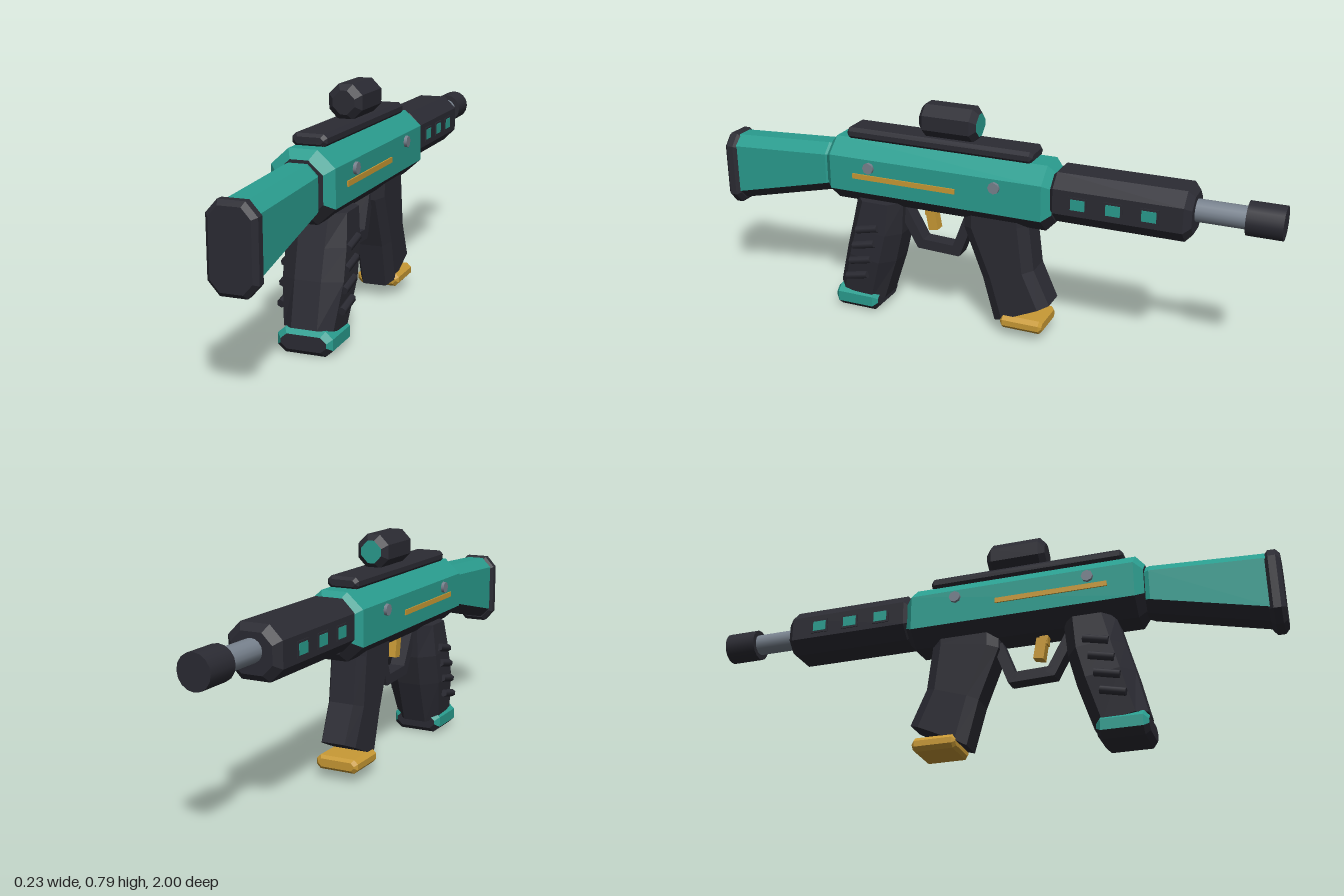
import * as THREE from 'three';

const mat = (name, color) => {
  const m = new THREE.MeshStandardMaterial({ color });
  m.name = name;
  return m;
};

export function createModel() {
  const root = new THREE.Group();
  root.name = 'rifle';
  const dark = mat('charcoal', 0x2b2b33);
  const teal = mat('teal', 0x2a9d8f);
  const gold = mat('gold', 0xc99a35);
  const steel = mat('steel', 0x78828e);

  // Octagon outline, counter-clockwise from the lower right corner
  const octagon = (w, v0, v1, cu, cv) => [
    [w, v0 + cv], [w, v1 - cv], [w - cu, v1], [cu - w, v1],
    [-w, v1 - cv], [-w, v0 + cv], [cu - w, v0], [w - cu, v0]];

  // Section across z
  const zLoop = (z, w, y0, y1, cu = 0.03, cv = cu) =>
    octagon(w, y0, y1, cu, cv).map(([x, y]) => [x, y, z]);

  // Section across y; ya and yb are the heights at its back (zb) and front (za) edges
  const yLoop = (w, za, ya, zb, yb, cu, cv) =>
    octagon(w, -za, -zb, cu, cv).map(([x, v]) => [x, ya + (yb - ya) * (-v - za) / (zb - za), -v]);

  // Faceted skin over octagon loops; pick(edge) gives the material, edge is 0-7, 'start' or 'end'
  function loft(name, loops, pick) {
    const buckets = new Map();
    const tri = (m, ...p) => {
      if (!buckets.has(m)) buckets.set(m, []);
      buckets.get(m).push(...p.flat());
    };
    for (let k = 0; k < loops.length - 1; k++) {
      const a = loops[k], b = loops[k + 1];
      for (let i = 0; i < 8; i++) {
        const j = (i + 1) % 8;
        tri(pick(i), a[i], a[j], b[j]);
        tri(pick(i), a[i], b[j], b[i]);
      }
    }
    const s = loops[0], e = loops[loops.length - 1];
    for (let i = 1; i < 7; i++) {
      tri(pick('start'), s[0], s[i + 1], s[i]);
      tri(pick('end'), e[0], e[i], e[i + 1]);
    }
    const geo = new THREE.BufferGeometry(), mats = [...buckets.keys()];
    let start = 0;
    mats.forEach((m, i) => {
      const count = buckets.get(m).length / 3;
      geo.addGroup(start, count, i);
      start += count;
    });
    geo.setAttribute('position', new THREE.Float32BufferAttribute([...buckets.values()].flat(), 3));
    geo.computeVertexNormals();
    const mesh = new THREE.Mesh(geo, mats);
    mesh.name = name;
    root.add(mesh);
    return mesh;
  }

  // Block along z with chamfered edges and bevelled ends
  const block = (name, z0, z1, w, y0, y1, cu, cv, b, pick) => loft(name, [
    zLoop(z0, w - b, y0 + b, y1 - b, cu * 0.8, cv * 0.8),
    zLoop(z0 + b, w, y0, y1, cu, cv),
    zLoop(z1 - b, w, y0, y1, cu, cv),
    zLoop(z1, w - b, y0 + b, y1 - b, cu * 0.8, cv * 0.8)], pick);

  function add(name, geo, m, x, y, z, rx = 0, rz = 0) {
    const mesh = new THREE.Mesh(geo, m);
    mesh.name = name;
    mesh.position.set(x, y, z);
    mesh.rotation.set(rx, 0, rz);
    root.add(mesh);
    return mesh;
  }

  const allDark = () => dark;
  const allGold = () => gold;
  const twoTone = e => (typeof e === 'string' || e >= 5 ? dark : teal);

  // Main body
  block('receiver', -0.27, 0.565, 0.104, 0.415, 0.642, 0.058, 0.052, 0.028, twoTone);
  block('handguard', -0.726, -0.255, 0.092, 0.457, 0.627, 0.043, 0.043, 0.022, allDark);
  block('topRail', -0.19, 0.495, 0.057, 0.638, 0.679, 0.012, 0.012, 0.01, allDark);
  block('scope', 0.013, 0.222, 0.057, 0.675, 0.79, 0.033, 0.033, 0.019,
    e => (e === 'start' ? teal : dark));

  // Barrel and muzzle
  const round = (r, len) => new THREE.CylinderGeometry(r, r, len, 16);
  add('barrel', round(0.037, 0.22), steel, 0, 0.55, -0.8, Math.PI / 2);
  add('muzzle', round(0.055, 0.115), dark, 0, 0.55, -0.9425, Math.PI / 2);

  // Stock, flaring towards the butt pad
  loft('stock', [
    zLoop(0.54, 0.052, 0.445, 0.6, 0.03),
    zLoop(0.58, 0.066, 0.43, 0.606, 0.035),
    zLoop(0.96, 0.066, 0.34, 0.585, 0.035)], twoTone);
  block('buttPad', 0.948, 1, 0.077, 0.325, 0.59, 0.036, 0.04, 0.014, allDark);

  // Grip
  loft('grip', [
    yLoop(0.083, 0.548, 0.085, 0.373, 0.045, 0.04, 0.035),
    yLoop(0.102, 0.515, 0.23, 0.322, 0.2, 0.058, 0.04),
    yLoop(0.101, 0.488, 0.33, 0.295, 0.31, 0.056, 0.04),
    yLoop(0.093, 0.462, 0.43, 0.285, 0.43, 0.045, 0.04)], allDark);
  block('gripBase', 0.385, 0.553, 0.092, 0.002, 0.083, 0.025, 0.022, 0.016, twoTone);

  // Curved magazine
  loft('magazine', [
    yLoop(0.064, -0.057, 0.045, -0.257, 0.137, 0.022, 0.035),
    yLoop(0.066, -0.015, 0.2, -0.2, 0.26, 0.022, 0.035),
    yLoop(0.066, 0.055, 0.38, -0.18, 0.42, 0.022, 0.035),
    yLoop(0.066, 0.055, 0.44, -0.18, 0.44, 0.022, 0.035)], allDark);
  block('magazineBase', -0.24, -0.088, 0.077, 0.034, 0.082, 0.014, 0.014, 0.01, allGold);

  // Trigger guard: three bars joined along a bent path
  const guard = [[0.3, 0.4], [0.232, 0.277], [0.095, 0.272], [0.05, 0.39]];
  for (let i = 0; i < 3; i++) {
    const [za, ya] = guard[i], [zb, yb] = guard[i + 1];
    add('triggerGuard', new THREE.BoxGeometry(0.055, 0.036, Math.hypot(zb - za, yb - ya) + 0.02),
      dark, 0, (ya + yb) / 2, (za + zb) / 2, Math.atan2(yb - ya, za - zb));
  }

  // Trigger
  add('trigger', new THREE.BoxGeometry(0.035, 0.075, 0.036), gold, 0, 0.37, 0.192, 0.17);
  add('triggerStem', new THREE.BoxGeometry(0.03, 0.05, 0.03), gold, 0, 0.41, 0.205, 0.1);

  // Details mirrored on both sides
  for (const s of [1, -1]) {
    for (const z of [0.384, -0.08])
      add('bolt', new THREE.CylinderGeometry(0.02, 0.02, 0.03, 8), steel, s * 0.1, 0.562, z, 0, Math.PI / 2);
    add('sideStripe', new THREE.BoxGeometry(0.009, 0.018, 0.386), gold, s * 0.104, 0.526, 0.255);
    for (const z of [-0.363, -0.48, -0.597]) {
      add('ventFrame', new THREE.BoxGeometry(0.006, 0.05, 0.062), dark, s * 0.092, 0.541, z);
      add('vent', new THREE.BoxGeometry(0.008, 0.036, 0.048), teal, s * 0.093, 0.541, z);
    }
    for (let i = 0; i < 4; i++) {
      const rib = add('gripRib', new THREE.CylinderGeometry(0.014, 0.014, 0.085, 6), dark,
        s * 0.102, 0.332 - i * 0.062, 0.402 + i * 0.016, Math.PI / 2);
      rib.rotation.x = -Math.PI / 2 + 0.22 + Math.PI;
    }
  }
  return root;
}
